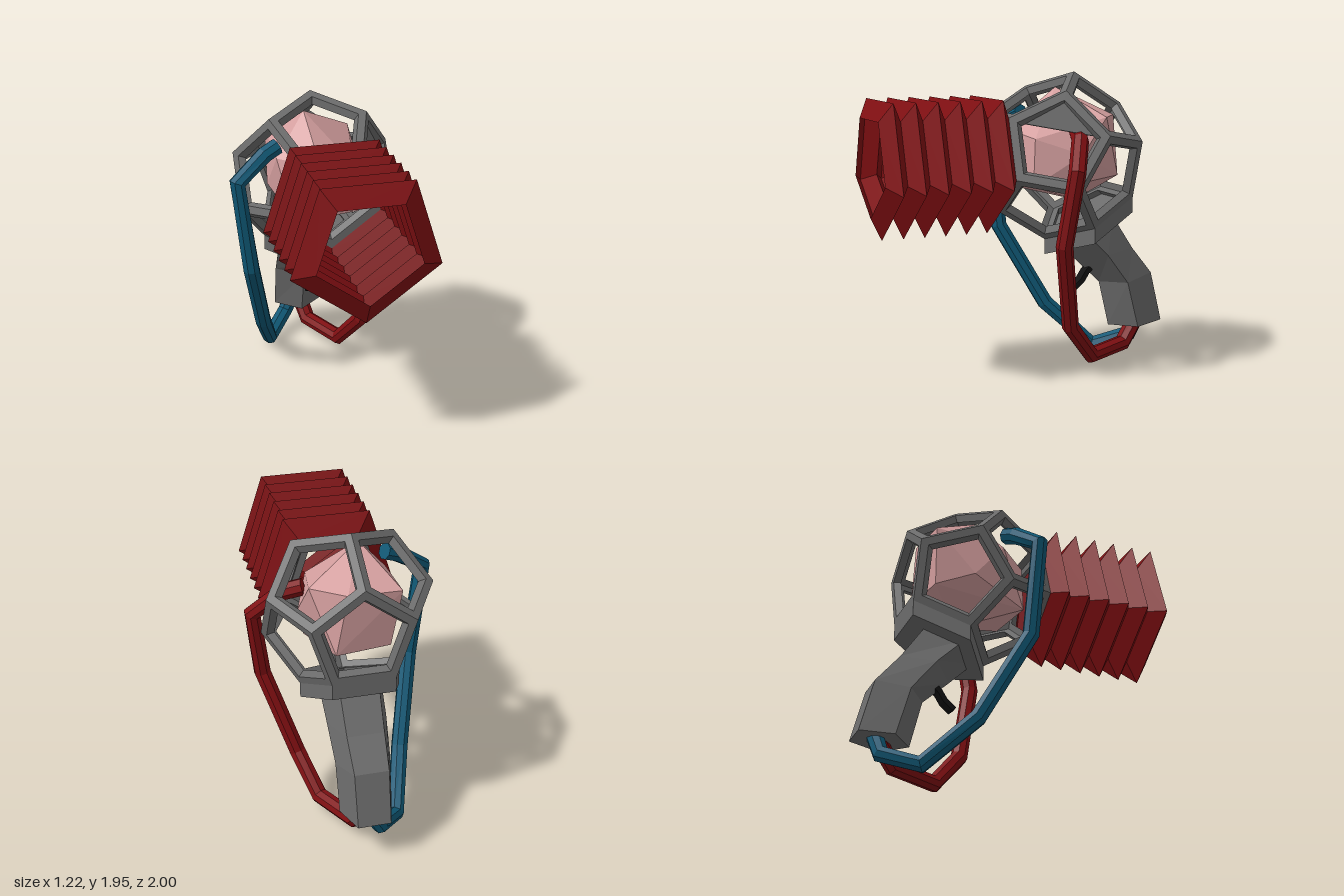
import * as THREE from 'three';
import { ConvexGeometry } from 'three/addons/geometries/ConvexGeometry.js';

const V = (x, y, z) => new THREE.Vector3(x, y, z);

// Faceted skin through a list of rings, each counter-clockwise about the direction of travel
function loft(rings, caps = false) {
  const pos = [];
  const tri = (...p) => p.forEach((v) => pos.push(v.x, v.y, v.z));
  const n = rings[0].length;
  for (let r = 0; r < rings.length - 1; r++) {
    const a = rings[r], b = rings[r + 1];
    for (let i = 0; i < n; i++) {
      const j = (i + 1) % n;
      tri(a[i], a[j], b[j]);
      tri(a[i], b[j], b[i]);
    }
  }
  if (caps) {
    const s = rings[0], e = rings[rings.length - 1];
    for (let i = 1; i < n - 1; i++) {
      tri(s[0], s[i + 1], s[i]);
      tri(e[0], e[i], e[i + 1]);
    }
  }
  const g = new THREE.BufferGeometry();
  g.setAttribute('position', new THREE.Float32BufferAttribute(pos, 3));
  g.computeVertexNormals();
  return g;
}

// Straight-sided path with mitred corners
class Polyline extends THREE.Curve {
  constructor(pts) { super(); this.pts = pts; }
  getPointAt(u) { return this.pts[Math.round(u * (this.pts.length - 1))].clone(); }
  getTangentAt(u) {
    const p = this.pts, i = Math.round(u * (p.length - 1));
    const t = V(0, 0, 0);
    if (i > 0) t.add(p[i].clone().sub(p[i - 1]).normalize());
    if (i < p.length - 1) t.add(p[i + 1].clone().sub(p[i]).normalize());
    return t.normalize();
  }
}

function cableGeometry(coords, radius, sides) {
  const pts = coords.map((c) => V(...c));
  const f = new Polyline(pts).computeFrenetFrames(pts.length - 1, false);
  return loft(pts.map((p, k) => Array.from({ length: sides }, (_, i) => {
    const a = (i / sides) * Math.PI * 2;
    return p.clone().addScaledVector(f.normals[k], radius * Math.cos(a))
      .addScaledVector(f.binormals[k], radius * Math.sin(a));
  })), true);
}

// Five points around the z axis
const pentagon = (radius, z, startDeg) => Array.from({ length: 5 }, (_, k) => {
  const a = THREE.MathUtils.degToRad(startDeg + 72 * k);
  return V(radius * Math.cos(a), radius * Math.sin(a), z);
});

export function createModel() {
  const root = new THREE.Group();
  const mat = (name, color, extra = {}) => {
    const m = new THREE.MeshStandardMaterial({ color, ...extra });
    m.name = name;
    return m;
  };
  const gray = mat('gunmetal gray', 0x6c6c6c, { side: THREE.DoubleSide });
  const red = mat('dark red', 0x800f12, { side: THREE.DoubleSide });
  const blue = mat('deep blue', 0x0f5875);
  const pink = mat('pale pink', 0xd6a0a0);
  const black = mat('black', 0x121212);
  const add = (name, geometry, material, parent = root) => {
    const m = new THREE.Mesh(geometry, material);
    m.name = name;
    parent.add(m);
    return m;
  };

  // Dodecahedral cage: corner rings from front to back
  const cage = new THREE.Group();
  cage.name = 'cage';
  cage.position.set(0, 1.416, -0.28);
  root.add(cage);
  const R = 0.336, R2 = 0.544, H = 0.44, H2 = 0.104;
  const f1 = pentagon(R, H, -90), f2 = pentagon(R2, H2, -90);
  const b1 = pentagon(R, -H, -54), b2 = pentagon(R2, -H2, -54);
  const faces = [f1, b1];
  for (let k = 0; k < 5; k++) {
    const j = (k + 1) % 5;
    faces.push([f1[k], f2[k], b2[k], f2[j], f1[j]], [b1[k], b2[k], f2[j], b2[j], b1[j]]);
  }
  const outward = (face) => {
    const n = face[1].clone().sub(face[0]).cross(face[2].clone().sub(face[0]));
    return n.dot(face[0]) > 0 ? face : [...face].reverse();
  };
  for (const raw of faces) {
    const outer = outward(raw);
    const mid = outer.reduce((s, p) => s.add(p), V(0, 0, 0)).divideScalar(5);
    const hole = outer.map((p) => mid.clone().lerp(p, 0.82));
    const deeper = (ring) => ring.map((p) => p.clone().multiplyScalar(0.9));
    add('cageFace', loft([outer, hole, deeper(hole), deeper(outer)]), gray, cage);
  }

  // Corner web above the red cable socket
  const web = [f1[2], f2[2], b2[1]].map((p, i) => p.clone().multiplyScalar(i === 1 ? 0.97 : 0.91));
  add('cornerWeb', loft([web, web.map((p) => p.clone().multiplyScalar(0.98))], true), gray, cage);

  // Collar dropped from the lower back face
  const seat = outward([b1[4], b2[4], f2[0], b2[0], b1[0]]);
  add('collar', loft([seat, seat.map((p) => p.clone().add(V(0, -0.1, 0)))], true), gray, cage);

  // Pistol grip: [half width, then z and y of front, side and back corners]
  const grip = [
    [0.2, -0.25, 0.87, -0.38, 0.93, -0.61, 1.02],
    [0.19, -0.406, 0.715, -0.55, 0.765, -0.765, 0.79],
    [0.175, -0.578, 0.555, -0.706, 0.567, -0.915, 0.61],
    [0.168, -0.652, 0.25, -0.79, 0.257, -1, 0.275],
  ].map(([w, fz, fy, sz, sy, bz, by]) => [
    V(0, fy, fz), V(-w, sy, sz), V(-w * 0.62, by, bz), V(w * 0.62, by, bz), V(w, sy, sz),
  ]);
  add('grip', loft(grip, true), gray);

  // Trigger: flat bent bar
  const bar = [[-0.5, 0.66], [-0.475, 0.635], [-0.44, 0.58], [-0.38, 0.53]].map(([z, y]) => [
    V(-0.037, y + 0.01, z - 0.012), V(0.037, y + 0.01, z - 0.012),
    V(0.037, y - 0.01, z + 0.012), V(-0.037, y - 0.01, z + 0.012),
  ].map((p, i) => {
    // keep the bar about as thick along its bend
    p.z = z + (i < 2 ? -0.013 : 0.013);
    p.y = y + (i < 2 ? -0.011 : 0.011);
    return p;
  }));
  add('trigger', loft(bar, true), black);

  // Open pentagonal bellows with six pleats
  const rings = [];
  for (let i = 0; i <= 12; i++) rings.push(pentagon(i % 2 ? 0.48 : R, 0.16 + i * 0.07, -90));
  add('bellows', loft(rings), red).position.y = 1.416;

  // Faceted rock inside the cage
  const rock = [
    [-0.07, 1.86, -0.28], [-0.26, 1.66, -0.6], [0.08, 1.68, -0.63], [0.28, 1.68, -0.48],
    [0.31, 1.45, -0.3], [-0.28, 1.6, -0.15], [-0.05, 1.6, 0.07], [0.2, 1.55, -0.02],
    [0.22, 1.25, 0], [-0.2, 1.22, 0.02], [-0.3, 1.36, -0.35], [0.05, 1.13, -0.37],
    [0.15, 1.29, -0.63], [-0.2, 1.29, -0.58], [0.27, 1.26, -0.27],
  ];
  add('rock', new ConvexGeometry(rock.map((p) => V(...p))), pink);

  // Cables from the cage sides to the foot of the grip
  add('redCable', cableGeometry([
    [0.27, 1.59, -0.28], [0.39, 1.55, -0.24], [0.56, 1.37, -0.14], [0.5, 0.91, -0.085],
    [0.31, 0.35, -0.22], [0.21, 0.115, -0.42], [0.06, 0.13, -0.73], [0.02, 0.28, -0.85],
  ], 0.055, 8), red);
  add('blueCable', cableGeometry([
    [-0.28, 1.69, -0.13], [-0.37, 1.65, -0.1], [-0.56, 1.51, -0.02], [-0.48, 0.9, -0.05],
    [-0.35, 0.36, -0.34], [-0.24, 0.06, -0.65], [-0.08, 0.15, -0.85], [-0.01, 0.28, -0.87],
  ], 0.055, 8), blue);

  return root;
}
